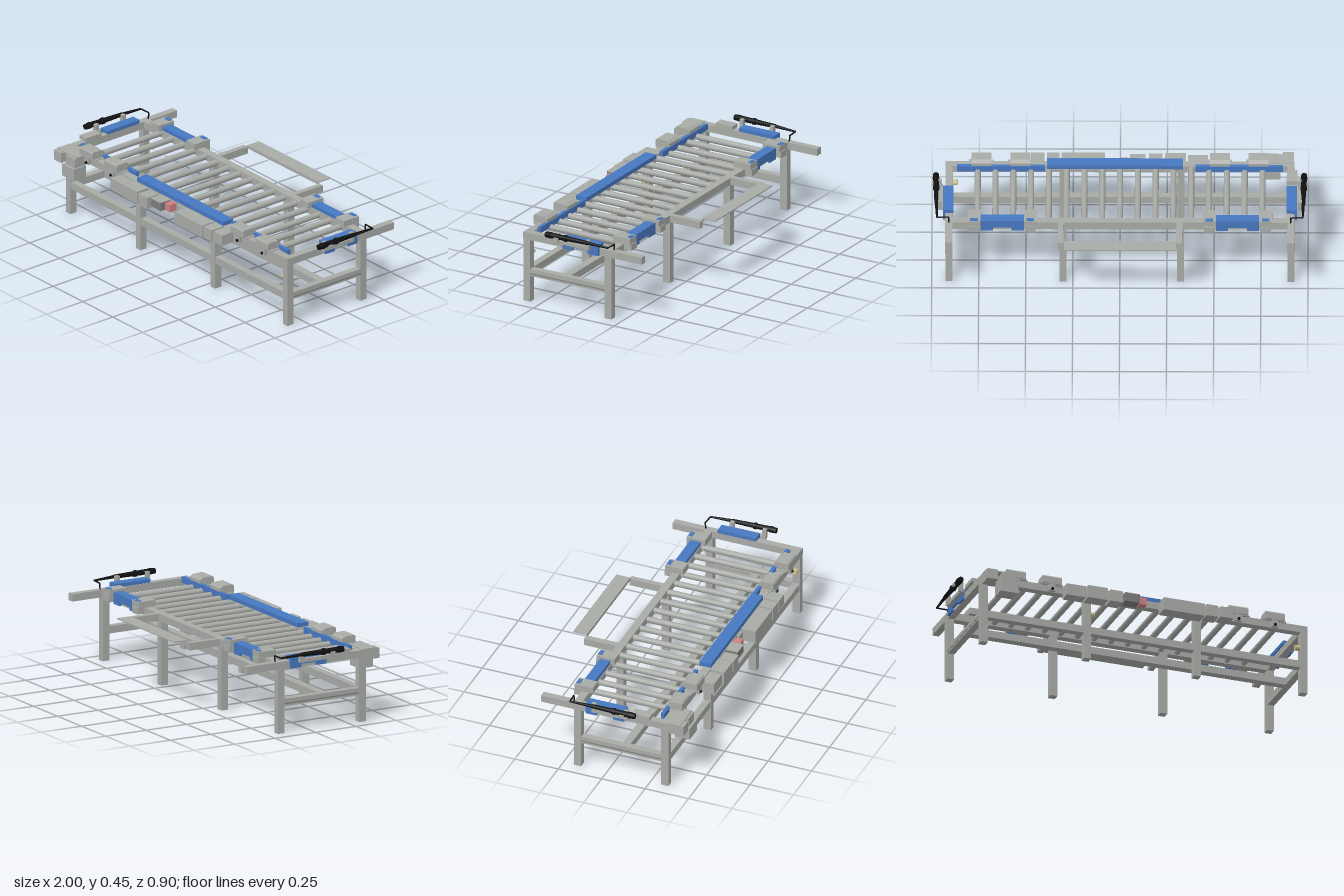
import * as THREE from 'three';

const mat = (name, color) => {
  const m = new THREE.MeshStandardMaterial({ color });
  m.name = name;
  return m;
};

export function createModel() {
  const root = new THREE.Group();
  root.name = 'rollerTable';
  const gray = mat('frameGray', 0xa8aaa6);
  const dark = mat('darkGray', 0x7c7e7a);
  const blue = mat('panelBlue', 0x4677c0);
  const black = mat('rodBlack', 0x101010);
  const red = mat('boxRed', 0xd08084);
  const yellow = mat('sensorYellow', 0xc9bf86);

  const add = (name, geo, m) => {
    const mesh = new THREE.Mesh(geo, m);
    mesh.name = name;
    root.add(mesh);
    return mesh;
  };
  // box given by its limits along each axis
  const box = (name, m, x0, x1, y0, y1, z0, z1) => {
    const mesh = add(name, new THREE.BoxGeometry(Math.abs(x1 - x0), y1 - y0, z1 - z0), m);
    mesh.position.set((x0 + x1) / 2, (y0 + y1) / 2, (z0 + z1) / 2);
    return mesh;
  };
  // cylinder between two points
  const rod = (name, m, a, b, ra, rb, sides = 14) => {
    const p = new THREE.Vector3(...a), q = new THREE.Vector3(...b);
    const mesh = add(name, new THREE.CylinderGeometry(rb, ra, p.distanceTo(q), sides), m);
    mesh.position.copy(p).lerp(q, 0.5);
    mesh.quaternion.setFromUnitVectors(new THREE.Vector3(0, 1, 0), q.sub(p).normalize());
    return mesh;
  };
  // outline in (u, y) extruded along the remaining axis
  const plate = (pts, depth) => new THREE.ExtrudeGeometry(
    new THREE.Shape(pts.map(p => new THREE.Vector2(...p))), { depth, bevelEnabled: false });

  // legs
  for (const x of [-0.91, -0.323, 0.302, 0.908]) {
    box('frontLeg', gray, x - 0.019, x + 0.019, 0, 0.352, 0.312, 0.355);
    box('backLeg', gray, x - 0.019, x + 0.019, 0, 0.352, -0.19, -0.148);
  }

  // top frame and lower rails
  box('frontRail', gray, -0.89, 0.89, 0.352, 0.392, 0.312, 0.355);
  box('backRail', gray, -0.89, 0.89, 0.352, 0.392, -0.195, -0.152);
  box('lowerFrontRail', gray, -0.89, 0.89, 0.147, 0.187, 0.314, 0.353);
  box('lowerMiddleRail', gray, -0.89, 0.89, 0.147, 0.187, 0.078, 0.122);
  for (const s of [-1, 1]) {
    box('sideRail', gray, s * 0.89, s * 0.928, 0.352, 0.392, -0.378, 0.355);
    box('lowerSideRail', gray, s * 0.89, s * 0.928, 0.147, 0.187, -0.148, 0.312);
    box('sideRailSlot', dark, s * 0.927, s * 0.9295, 0.158, 0.164, -0.148, 0.312);
  }

  // rear arms carrying a thin shelf with a lip
  box('rearArm', gray, -0.332, -0.3, 0.352, 0.392, -0.38, -0.195);
  box('rearArm', gray, 0.298, 0.328, 0.352, 0.392, -0.38, -0.195);
  box('rearShelf', gray, -0.3, 0.297, 0.396, 0.402, -0.455, -0.375);
  box('rearShelfLip', gray, -0.3, 0.297, 0.385, 0.4, -0.381, -0.375);

  // rollers
  for (let i = 0; i < 17; i++) {
    const x = -0.757 + i * 0.0946;
    rod('roller', gray, [x, 0.373, -0.153], [x, 0.373, 0.313], 0.0165, 0.0165, 16);
  }

  // blue front guides
  box('frontPanel', blue, -0.335, 0.388, 0.392, 0.415, 0.285, 0.352);
  for (const s of [-1, 1]) {
    box('frontGuide', blue, s * 0.4, s * 0.866, 0.375, 0.408, 0.285, 0.305);
  }

  // front clamps with sloped inner edge
  const clampProfile = [[-0.375, 0.395], [-0.29, 0.395], [-0.29, 0.425], [-0.308, 0.438], [-0.368, 0.44], [-0.375, 0.432]];
  for (const x of [-0.735, -0.53, 0.53, 0.737]) {
    const g = plate(clampProfile, 0.106);
    g.rotateY(Math.PI / 2);
    add('frontClamp', g, gray).position.x = x - 0.053;
    box('clampFoot', gray, x - 0.018, x + 0.018, 0.355, 0.396, 0.345, 0.372);
    rod('clampKnob', black, [x, 0.365, 0.37], [x, 0.365, 0.378], 0.008, 0.008, 10);
    box('clampBase', gray, x - 0.065, x + 0.065, 0.39, 0.397, 0.3, 0.365);
  }

  // back clamps and notched blue panels
  const notched = (u0, u1, y0, y1, n0, n1, yn) =>
    [[u0, y0], [n0, y0], [n0, yn], [n1, yn], [n1, y0], [u1, y0], [u1, y1], [u0, y1]];
  for (const s of [-1, 1]) {
    for (const x of [0.475, 0.775]) {
      box('backClamp', gray, s * x - 0.035, s * x + 0.035, 0.393, 0.428, -0.235, -0.13);
      box('backClampTab', blue, s * x - 0.02, s * x + 0.02, 0.425, 0.431, -0.232, -0.21);
      box('backClampPlate', gray, s * x - 0.028, s * x + 0.028, 0.36, 0.395, -0.24, -0.195);
    }
    box('backPanelTop', blue, s * 0.51, s * 0.74, 0.395, 0.415, -0.21, -0.155);
    add('backPanelFace', plate(notched(-0.115, 0.115, 0.352, 0.414, -0.05, 0.05, 0.37), 0.012), blue)
      .position.set(s * 0.625, 0, -0.213);
  }

  // end panels, brackets and black damper rods
  for (const s of [-1, 1]) {
    box('endPanelTop', blue, s * 0.885, s * 0.94, 0.395, 0.415, -0.117, 0.103);
    const g = plate(notched(-0.103, 0.117, 0.352, 0.414, -0.04, 0.052, 0.37), 0.012);
    g.rotateY(Math.PI / 2);
    add('endPanelFace', g, blue).position.x = s > 0 ? 0.929 : -0.941;
    box('endBracketBar', gray, s * 0.94, s * 0.962, 0.382, 0.402, -0.072, 0.136);
    for (const z of [-0.062, 0.125]) {
      box('endBracketPost', gray, s * 0.945, s * 0.968, 0.385, 0.438, z - 0.011, z + 0.011);
    }
    rod('damperCap', black, [s * 0.978, 0.429, 0.184], [s * 0.978, 0.43, 0.15], 0.015, 0.018);
    rod('damperBody', black, [s * 0.978, 0.43, 0.16], [s * 0.975, 0.43, -0.07], 0.016, 0.011);
    rod('damperRod', black, [s * 0.975, 0.43, -0.07], [s * 0.972, 0.426, -0.195], 0.009, 0.005);
    rod('damperRing', black, [s * 0.977, 0.43, 0.07], [s * 0.977, 0.43, 0.055], 0.018, 0.018);
    rod('damperLink', black, [s * 0.972, 0.426, -0.195], [s * 0.908, 0.426, -0.198], 0.004, 0.004, 8);
    rod('damperLinkEnd', black, [s * 0.908, 0.426, -0.198], [s * 0.908, 0.388, -0.195], 0.004, 0.004, 8);
    box('damperMount', gray, s * 0.968, s, 0.418, 0.428, 0.1, 0.125);
  }

  // control boxes along the front: x0, x1, y0, y1, z1
  const boxes = [
    [-0.468, -0.36, 0.32, 0.385, 0.425], [-0.35, -0.237, 0.32, 0.39, 0.435],
    [-0.225, -0.153, 0.32, 0.385, 0.435], [0.08, 0.195, 0.32, 0.39, 0.435],
    [0.195, 0.312, 0.32, 0.39, 0.435], [0.322, 0.39, 0.325, 0.39, 0.435],
    [0.402, 0.475, 0.33, 0.39, 0.435], [0.017, 0.07, 0.346, 0.385, 0.368],
  ];
  for (const [x0, x1, y0, y1, z1] of boxes) box('controlBox', gray, x0, x1, y0, y1, 0.355, z1);
  box('darkControlBox', dark, -0.135, -0.052, 0.34, 0.386, 0.355, 0.422);
  box('darkControlBoxLid', gray, -0.135, -0.052, 0.386, 0.39, 0.355, 0.424);
  box('redBox', red, -0.043, -0.002, 0.345, 0.386, 0.355, 0.4);

  // equipment at the right front corner
  box('cornerMotor', gray, -0.852, -0.752, 0.27, 0.338, 0.36, 0.445);
  box('cornerMotorTop', gray, -0.835, -0.76, 0.338, 0.39, 0.355, 0.432);
  box('cornerBox', gray, -0.925, -0.865, 0.335, 0.392, 0.355, 0.44);
  box('cornerPlate', gray, -0.925, -0.76, 0.388, 0.396, 0.335, 0.42);
  box('sideBox', gray, -0.942, -0.886, 0.393, 0.415, 0.145, 0.25);

  // round sensors beside the front legs
  for (const [x, d] of [[-0.304, 1], [0.889, -1]]) {
    rod('sensor', yellow, [x, 0.268, 0.333], [x + d * 0.026, 0.268, 0.333], 0.015, 0.015);
  }
  return root;
}
